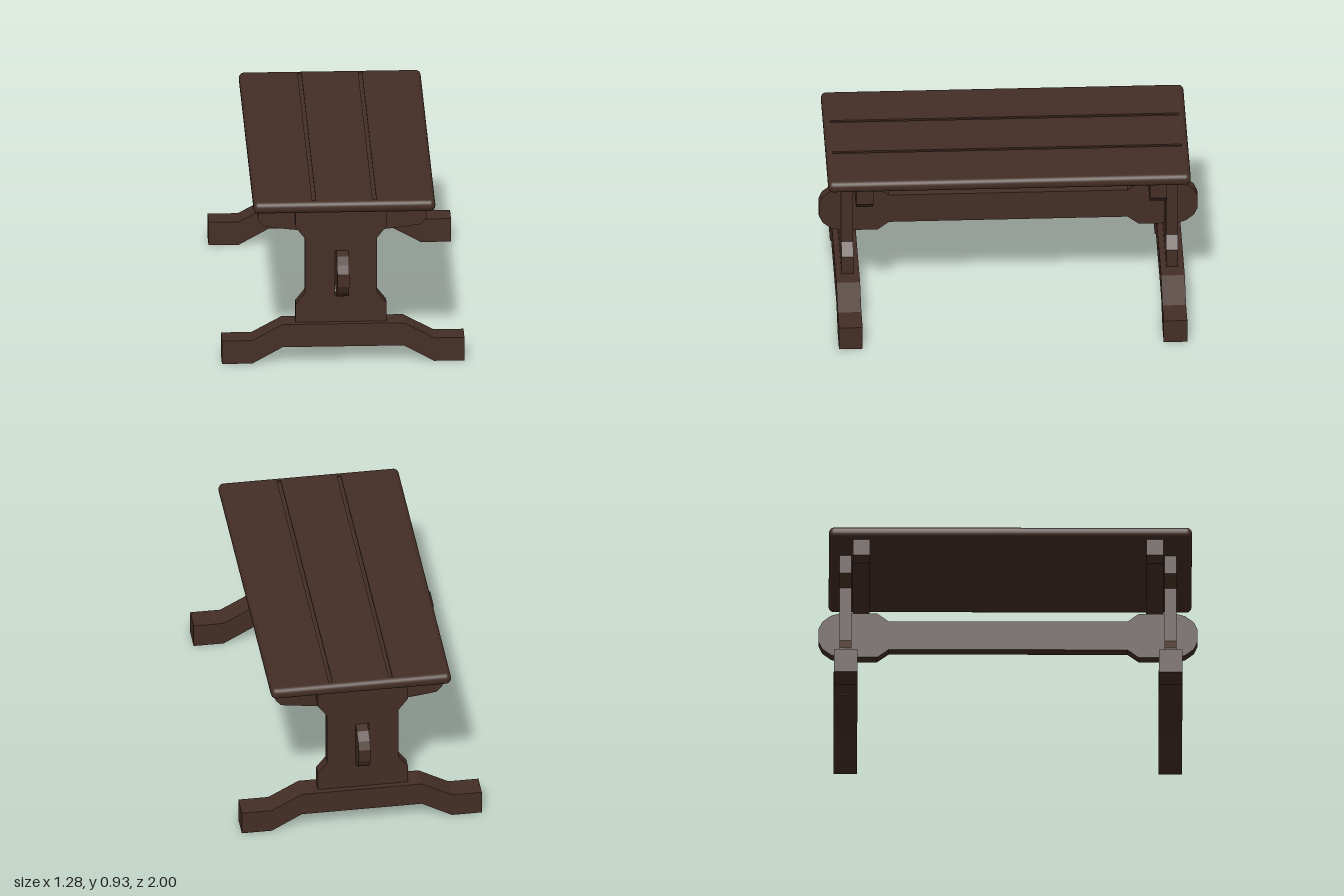
import * as THREE from 'three';

const wood = new THREE.MeshStandardMaterial({ color: 0x442e25 });
wood.name = 'dark wood';

const outline = (pts) => new THREE.Shape(pts.map(([x, y]) => new THREE.Vector2(x, y)));

const rect = (x0, y0, x1, y1) => outline([[x0, y0], [x1, y0], [x1, y1], [x0, y1]]);

// Flat board cut from a shape, centred on its thickness
function board(name, shape, depth) {
  const geo = new THREE.ExtrudeGeometry(shape, { depth, bevelEnabled: false, curveSegments: 10 });
  geo.translate(0, 0, -depth / 2);
  const mesh = new THREE.Mesh(geo, wood);
  mesh.name = name;
  return mesh;
}

// Half of an outline (x > 0) completed by its mirror image
const mirrored = (half) => outline([...half, ...half.map(([x, y]) => [-x, y]).reverse()]);

// Rounded rim of the table top: rounded corners swept over an edge profile
function topRim(hx, hz, hy, r) {
  const pos = [], index = [], steps = 6, corner = 5;
  const profile = [];
  for (let i = 0; i <= steps; i++) {
    const a = -Math.PI / 2 + (i / steps) * Math.PI / 2;
    profile.push([r * Math.cos(a), -hy + r + r * Math.sin(a)]);
  }
  for (let i = 0; i <= steps; i++) {
    const a = (i / steps) * Math.PI / 2;
    profile.push([r * Math.cos(a), hy - r + r * Math.sin(a)]);
  }
  const ring = 4 * (corner + 1);
  for (const [out, y] of profile) {
    for (let q = 0; q < 4; q++) {
      const sx = q === 0 || q === 3 ? 1 : -1, sz = q < 2 ? 1 : -1;
      for (let k = 0; k <= corner; k++) {
        const a = (q + k / corner) * Math.PI / 2;
        pos.push(sx * (hx - r) + out * Math.cos(a), y, sz * (hz - r) + out * Math.sin(a));
      }
    }
  }
  for (let i = 0; i < profile.length - 1; i++) {
    for (let j = 0; j < ring; j++) {
      const a = i * ring + j, b = i * ring + (j + 1) % ring;
      index.push(a, a + ring, b, b, a + ring, b + ring);
    }
  }
  const geo = new THREE.BufferGeometry();
  geo.setAttribute('position', new THREE.Float32BufferAttribute(pos, 3));
  geo.setIndex(index);
  geo.computeVertexNormals();
  const mesh = new THREE.Mesh(geo, wood);
  mesh.name = 'topRim';
  return mesh;
}

function tableTop() {
  const top = new THREE.Group();
  top.name = 'tableTop';
  const hx = 0.48, hz = 0.957, hy = 0.0325, r = 0.028, groove = 0.008;
  const ix = hx - r, iz = hz - r;
  top.add(topRim(hx, hz, hy, r));

  // Solid core below the grooves
  const core = board('topCore', rect(-ix, -iz, ix, iz), 2 * hy - groove);
  core.rotation.x = -Math.PI / 2;
  core.position.y = -groove / 2;

  // Surface layer with two long grooves cut through it
  const plan = rect(-ix, -iz, ix, iz);
  for (const x of [-0.16, 0.16]) {
    plan.holes.push(rect(x - 0.01, -iz + 0.008, x + 0.01, iz - 0.008));
  }
  const surface = board('topPlanks', plan, groove);
  surface.rotation.x = -Math.PI / 2;
  surface.position.y = hy - groove / 2;

  top.add(core, surface);
  top.position.set(0.005, 0.8925, 0.012);
  return top;
}

function trestle(side) {
  const group = new THREE.Group();
  group.name = side > 0 ? 'frontTrestle' : 'backTrestle';

  // Foot, raised in the middle
  const foot = board('foot', mirrored([
    [0.32, 0.09], [0.48, 0], [0.64, 0], [0.64, 0.13], [0.48, 0.13], [0.32, 0.218],
  ]), 0.125);
  foot.position.z = side * 0.857;

  // Upright panel with a slot for the stretcher
  const panelShape = mirrored([
    [0.15, 0.088], [0.15, 0.2], [0.24, 0.2], [0.24, 0.32], [0.19, 0.385],
    [0.19, 0.69], [0.24, 0.755], [0.24, 0.856],
  ]);
  panelShape.holes.push(rect(-0.032, 0.365, 0.038, 0.62));
  const panel = board('uprightPanel', panelShape, 0.063);
  panel.position.set(-0.01, 0, side * 0.857);

  // Bearer under the top, with a bowed lower edge
  const s = new THREE.Shape();
  s.moveTo(-0.445, 0.86);
  s.lineTo(-0.445, 0.77);
  s.lineTo(-0.415, 0.737);
  s.quadraticCurveTo(0, 0.668, 0.415, 0.737);
  s.lineTo(0.445, 0.77);
  s.lineTo(0.445, 0.86);
  s.lineTo(0.35, 0.86);
  s.quadraticCurveTo(0, 0.835, -0.35, 0.86);
  s.closePath();
  const bearer = board('bearer', s, 0.09);
  bearer.position.z = side * 0.775;

  group.add(foot, panel, bearer);
  return group;
}

// Long stretcher with wide rounded ends that pass through the panels
function stretcher() {
  const upper = [
    [0.63, 0.082], [0.69, 0.127], [0.89, 0.127], [0.935, 0.113], [0.98, 0.078], [1, 0.035],
  ];
  const lower = upper.map(([z, y]) => [z, -y]);
  const mesh = board('stretcher', mirrored([...lower, ...upper.reverse()]), 0.063);
  mesh.rotation.y = Math.PI / 2;
  mesh.position.set(-0.003, 0.4925, 0);
  return mesh;
}

export function createModel() {
  const model = new THREE.Group();
  model.name = 'trestleTable';
  model.add(tableTop(), trestle(1), trestle(-1), stretcher());
  return model;
}
